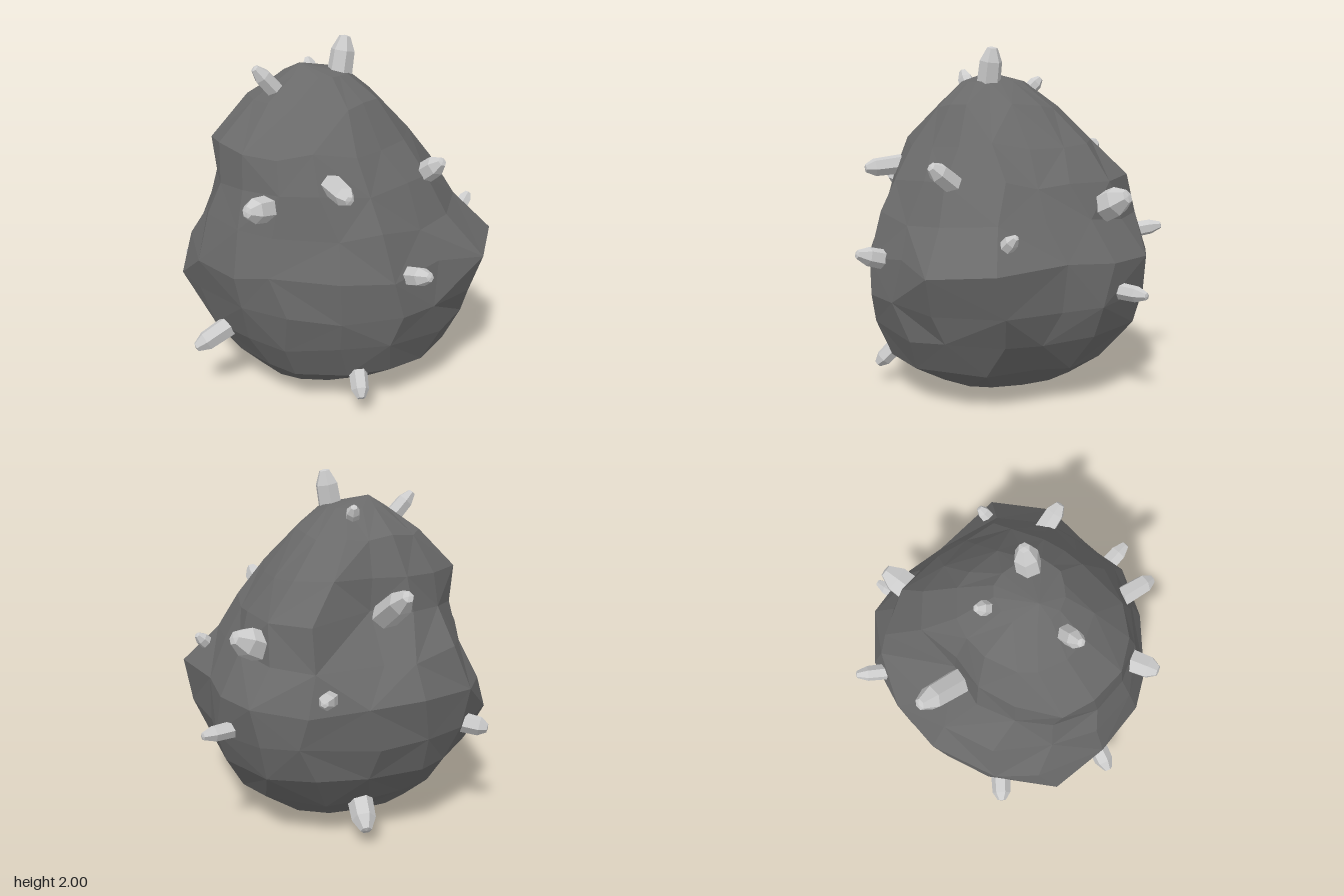
import * as THREE from 'three';

const stone = new THREE.MeshStandardMaterial({ color: 0x6a6a6a, flatShading: true });
const crystal = new THREE.MeshStandardMaterial({ color: 0xcccccc, flatShading: true });

// Boulder cross-sections: [y, xMin, xMax, zMin, zMax]
const SECTIONS = [
  [0.015, -0.22, 0.08, -0.17, 0.3],
  [0.07, -0.44, 0.42, -0.36, 0.56],
  [0.21, -0.62, 0.66, -0.56, 0.7],
  [0.4, -0.77, 0.75, -0.7, 0.8],
  [0.6, -0.83, 0.78, -0.76, 0.87],
  [0.82, -0.86, 0.77, -0.77, 0.89],
  [1.04, -0.76, 0.67, -0.63, 0.82],
  [1.25, -0.6, 0.56, -0.53, 0.77],
  [1.45, -0.55, 0.43, -0.41, 0.74],
  [1.66, -0.45, 0.29, -0.2, 0.51],
  [1.8, -0.25, 0.13, -0.02, 0.34],
];

// Outline of the boulder around its axis, starting at +x and turning towards +z
const OUTLINE = [0.98, 1, 0.95, 0.98, 1, 1.03, 1.05, 1.02, 1, 1, 1.06, 1.08, 1, 0.95, 1, 1.02];

// Local swellings and hollows: [section, spoke, amount]
const SWELLINGS = [
  // back lobe
  [4, 14, 0.07], [5, 14, 0.17], [6, 14, 0.04], [5, 15, 0.12], [4, 15, 0.03],
  [4, 13, -0.02], [5, 13, -0.03], [5, 0, -0.01],
  // rear ledge and the crevice beside it
  [6, 10, 0.1], [7, 10, 0.26], [8, 10, 0.08], [7, 11, 0.08],
  [6, 9, -0.05], [7, 9, -0.15], [8, 9, -0.07],
  // low front corner
  [3, 6, 0.03], [4, 6, 0.07], [5, 6, -0.04], [6, 6, -0.08], [7, 6, -0.03], [8, 6, 0.05],
];

// Crystals: [base xyz, tip xyz, radius]
const CRYSTALS = [
  [0.04, 1.68, 0.1, 0.05, 2.0, 0.04, 0.075],
  [-0.11, 1.66, 0.36, -0.17, 1.86, 0.53, 0.055],
  [-0.2, 1.7, 0.04, -0.3, 1.82, -0.02, 0.045],
  [-0.5, 1.22, 0.02, -0.8, 1.41, -0.06, 0.08],
  [-0.2, 1.04, -0.46, -0.21, 1.18, -0.76, 0.095],
  [-0.6, 0.88, -0.4, -0.78, 0.93, -0.59, 0.05],
  [-0.48, 0.27, -0.13, -0.7, 0.1, -0.24, 0.075],
  [-0.72, 0.61, 0.4, -0.87, 0.58, 0.51, 0.06],
  [-0.16, 0.65, -0.66, -0.16, 0.65, -0.94, 0.05],
  [0.46, 1.22, -0.11, 0.65, 1.36, -0.09, 0.065],
  [0.5, 0.91, -0.46, 0.5, 1.02, -0.58, 0.045],
  [0.6, 0.78, 0.24, 0.87, 0.86, 0.29, 0.06],
  [0.36, 1.31, 0.5, 0.57, 1.29, 0.59, 0.06],
  [0.11, 1.17, 0.68, 0.14, 1.21, 0.9, 0.075],
  [-0.18, 0.42, 0.72, -0.29, 0.29, 0.94, 0.065],
  [0.47, 0.25, 0.41, 0.58, 0.11, 0.5, 0.055],
];

// Repeatable roughness in -1..1
function rough(i, j) {
  const s = Math.sin(i * 127.1 + j * 311.7) * 43758.5453;
  return (s - Math.floor(s)) * 2 - 1;
}

function makeBoulder() {
  const n = OUTLINE.length;
  const last = SECTIONS.length - 1;
  const rings = SECTIONS.map(([y, x0, x1, z0, z1], i) => OUTLINE.map((k, j) => {
    const swell = SWELLINGS.find((s) => s[0] === i && s[1] === j);
    const r = k + (swell ? swell[2] : 0) + 0.012 * rough(i, j);
    const a = ((j + 0.2 * rough(i + 20, j)) / n) * Math.PI * 2;
    const lift = i < 2 || i === last ? 0 : 0.025 * rough(i, j + 40);
    return new THREE.Vector3(
      (x0 + x1) / 2 + (r * (x1 - x0) / 2) * Math.cos(a),
      y + lift,
      (z0 + z1) / 2 + (r * (z1 - z0) / 2) * Math.sin(a));
  }));
  const bottom = new THREE.Vector3(-0.11, 0, 0.02);
  const top = new THREE.Vector3(-0.11, 1.855, 0.24);
  const corners = [];
  for (let j = 0; j < n; j++) {
    const k = (j + 1) % n;
    corners.push(bottom, rings[0][j], rings[0][k]);
    for (let i = 0; i < last; i++) {
      const a = rings[i][j], b = rings[i][k], c = rings[i + 1][j], d = rings[i + 1][k];
      // Alternate the diagonal so that facets look chipped
      if ((i + j) % 2) corners.push(a, c, b, b, c, d);
      else corners.push(a, c, d, a, d, b);
    }
    corners.push(rings[last][j], top, rings[last][k]);
  }
  const geometry = new THREE.BufferGeometry().setFromPoints(corners);
  geometry.computeVertexNormals();
  const mesh = new THREE.Mesh(geometry, stone);
  mesh.name = 'boulder';
  return mesh;
}

// Six-sided crystal with a blunt, bevelled point
function makeCrystal([bx, by, bz, tx, ty, tz, radius], index) {
  const base = new THREE.Vector3(bx, by, bz);
  const axis = new THREE.Vector3(tx, ty, tz).sub(base);
  const length = axis.length();
  const profile = [[0, 0], [1, 0], [0.9, 0.74], [0.42, 0.98], [0, 1]]
    .map(([r, h]) => new THREE.Vector2(r * radius, h * length));
  const mesh = new THREE.Mesh(new THREE.LatheGeometry(profile, 6), crystal);
  mesh.position.copy(base);
  mesh.quaternion.setFromUnitVectors(new THREE.Vector3(0, 1, 0), axis.normalize());
  mesh.rotateY(index);
  mesh.name = 'crystal' + (index + 1);
  return mesh;
}

export function createModel() {
  const group = new THREE.Group();
  group.name = 'crystalBoulder';
  group.add(makeBoulder());
  const crystals = new THREE.Group();
  crystals.name = 'crystals';
  CRYSTALS.forEach((c, i) => crystals.add(makeCrystal(c, i)));
  group.add(crystals);
  return group;
}
